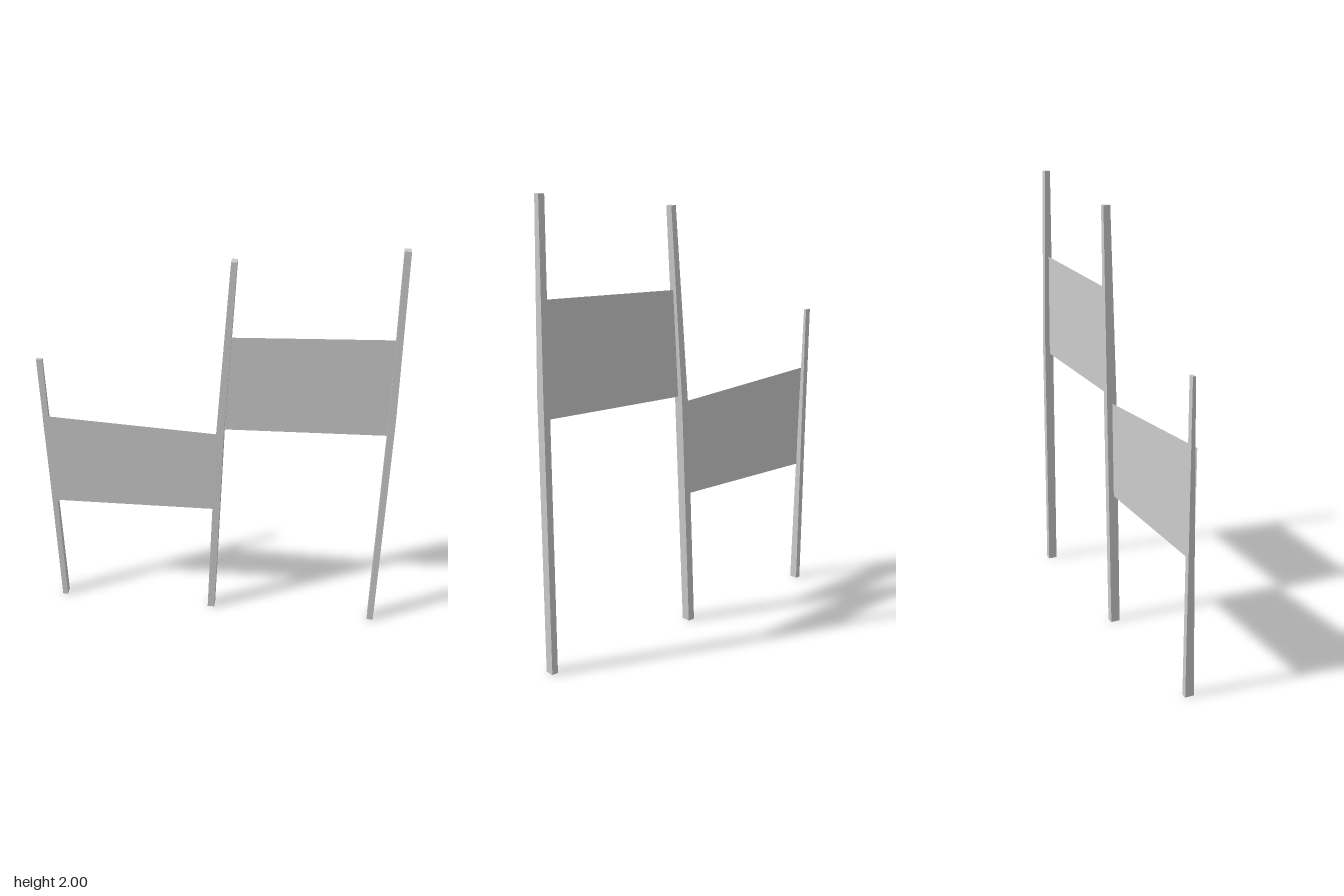
import * as THREE from 'three';

const material = new THREE.MeshStandardMaterial({ color: 0xcccccc, flatShading: true });
const clothMaterial = new THREE.MeshStandardMaterial({ color: 0xcccccc, side: THREE.DoubleSide });

// Four-sided post lofted through rectangular sections [y, x0, x1, z0, z1]
function createPost(name, sections) {
  const positions = [];
  const index = [];
  for (const [y, x0, x1, z0, z1] of sections) {
    positions.push(x0, y, z1, x1, y, z1, x1, y, z0, x0, y, z0);
  }
  for (let s = 0; s < sections.length - 1; s++) {
    for (let i = 0; i < 4; i++) {
      const a = s * 4 + i, b = s * 4 + (i + 1) % 4;
      index.push(a, b, b + 4, a, b + 4, a + 4);
    }
  }
  const t = (sections.length - 1) * 4;
  index.push(0, 2, 1, 0, 3, 2, t, t + 1, t + 2, t, t + 2, t + 3);
  const indexed = new THREE.BufferGeometry();
  indexed.setAttribute('position', new THREE.Float32BufferAttribute(positions, 3));
  indexed.setIndex(index);
  const geometry = indexed.toNonIndexed();
  geometry.computeVertexNormals();
  const mesh = new THREE.Mesh(geometry, material);
  mesh.name = name;
  return mesh;
}

// Flat four-cornered sheet, its ends tucked into the posts
function createPanel(name, corners) {
  const shape = new THREE.Shape(corners.map(([x, y]) => new THREE.Vector2(x, y)));
  const mesh = new THREE.Mesh(new THREE.ShapeGeometry(shape), clothMaterial);
  mesh.name = name;
  mesh.position.z = 0.002;
  return mesh;
}

export function createModel() {
  const group = new THREE.Group();
  group.name = 'fence';

  // Three crooked posts
  group.add(
    createPost('rightPost', [
      [0, -0.766, -0.741, -0.022, 0.018],
      [0.8, -0.774, -0.749, -0.024, 0],
      [1.375, -0.782, -0.755, -0.027, -0.014],
    ]),
    createPost('middlePost', [
      [0, -0.037, -0.004, -0.021, 0.021],
      [1.06, 0.004, 0.038, -0.023, 0.023],
      [1.915, 0.063, 0.088, -0.012, 0.02],
    ]),
    createPost('leftPost', [
      [0, 0.746, 0.775, -0.02, 0.021],
      [1.2, 0.745, 0.775, -0.022, 0.02],
      [2, 0.733, 0.761, -0.013, 0.013],
    ]),
  );

  // Two panels spanning neighbouring posts at different heights
  group.add(
    createPanel('rightPanel', [[-0.772, 0.6], [-0.005, 0.617], [0.015, 1.05], [-0.776, 1.086]]),
    createPanel('leftPanel', [[0.025, 1.08], [0.755, 1.107], [0.75, 1.592], [0.05, 1.555]]),
  );
  return group;
}
